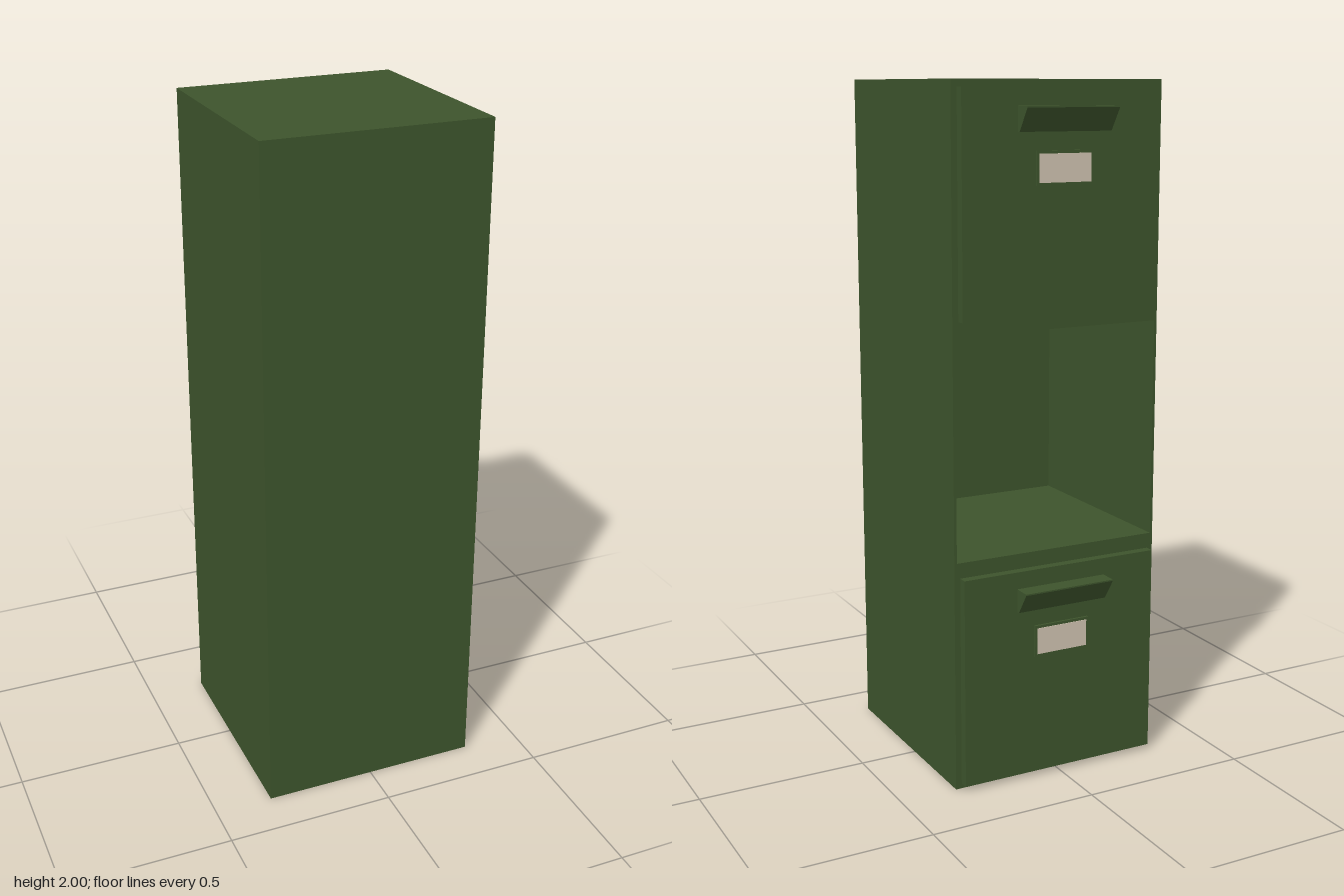
import * as THREE from 'three';

const green = new THREE.MeshStandardMaterial({ color: 0x3d542c });
green.name = 'olive green paint';
const beige = new THREE.MeshStandardMaterial({ color: 0xcfc2b0 });
beige.name = 'beige card';

const W = 0.656, BACK = -0.288, FRONT = 0.368, INNER = 0.327, FACE = -0.315;

// Box given by its centre x, and its y and z ranges
function box(name, material, width, y0, y1, z0, z1) {
  const mesh = new THREE.Mesh(new THREE.BoxGeometry(width, y1 - y0, z1 - z0), material);
  mesh.position.set(0, (y0 + y1) / 2, (z0 + z1) / 2);
  mesh.name = name;
  return mesh;
}

// Drawer front with wedge pull and card holder; y is its lower edge
function makeDrawer(name, y) {
  const drawer = new THREE.Group();
  drawer.name = name;
  drawer.add(box('drawerFront', green, 0.62, 0, 0.62, FACE, BACK));

  // Pull: profile in (outward, up), extruded along x
  const profile = new THREE.Shape([
    new THREE.Vector2(0, 0.502), new THREE.Vector2(0.01, 0.502),
    new THREE.Vector2(0.053, 0.566), new THREE.Vector2(0.053, 0.57),
    new THREE.Vector2(0, 0.57),
  ]);
  const geometry = new THREE.ExtrudeGeometry(profile, { depth: 0.286, bevelEnabled: false });
  geometry.translate(0, 0, -0.143).rotateY(Math.PI / 2);
  // rotateY(90) sends the profile's outward axis to -z
  const pull = new THREE.Mesh(geometry, green);
  pull.position.z = FACE;
  pull.name = 'pull';
  drawer.add(pull);

  drawer.add(box('cardHolder', green, 0.176, 0.358, 0.452, FACE - 0.007, FACE));
  drawer.add(box('card', beige, 0.162, 0.366, 0.444, FACE - 0.009, FACE - 0.007));
  drawer.position.y = y;
  return drawer;
}

export function createModel() {
  const model = new THREE.Group();
  model.name = 'filingCabinet';

  // Cabinet shell with the empty drawer bay as a hole
  const outline = new THREE.Shape([
    new THREE.Vector2(-W / 2, 0), new THREE.Vector2(W / 2, 0),
    new THREE.Vector2(W / 2, 2), new THREE.Vector2(-W / 2, 2),
  ]);
  const inner = W / 2 - 0.008;
  outline.holes.push(new THREE.Path([
    new THREE.Vector2(-inner, 0.68), new THREE.Vector2(-inner, 1.32),
    new THREE.Vector2(inner, 1.32), new THREE.Vector2(inner, 0.68),
  ]));
  const shell = new THREE.Mesh(
    new THREE.ExtrudeGeometry(outline, { depth: INNER - BACK, bevelEnabled: false }), green);
  shell.position.z = BACK;
  shell.name = 'cabinetShell';
  model.add(shell);

  // Plain panel closing the bay
  model.add(box('closingPanel', green, W, 0, 2, INNER, FRONT));

  model.add(makeDrawer('lowerDrawer', 0.015));
  model.add(makeDrawer('upperDrawer', 1.36));
  return model;
}
